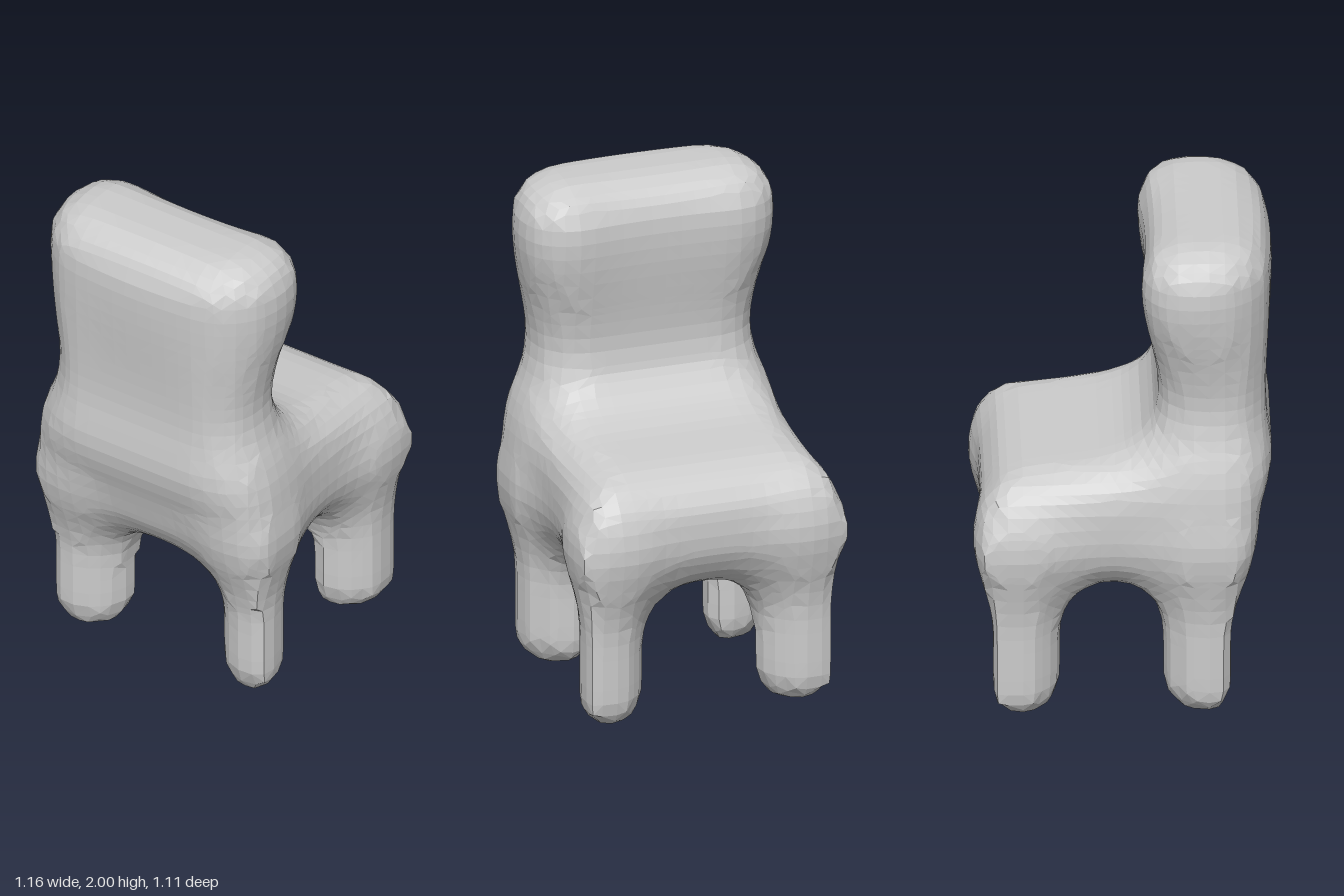
import * as THREE from 'three';

const CELL = 0.06;                       // facet size of the low-poly skin
const MIN = [-0.78, -0.15, -0.78];
const COUNT = [27, 39, 27];

// Signed distance to a rectangle with rounded corners
function roundedRect(x, z, hx, hz, r) {
  const qx = Math.abs(x) - hx + r, qz = Math.abs(z) - hz + r;
  return Math.hypot(Math.max(qx, 0), Math.max(qz, 0)) + Math.min(Math.max(qx, qz), 0) - r;
}

// Raises a plan outline from y0 to y1 and rounds its top and bottom rims
function prism(plan, y, y0, y1, topRound, bottomRound) {
  const middle = (y0 + y1) / 2, r = y > middle ? topRound : bottomRound;
  const qp = plan + r, qy = Math.abs(y - middle) - (y1 - y0) / 2 + r;
  return Math.hypot(Math.max(qp, 0), Math.max(qy, 0)) + Math.min(Math.max(qp, qy), 0) - r;
}

// Seat with tight corners, a vaulted underside and a top that slopes down towards +x
function seat(x, y, z) {
  const plan = roundedRect(x - 0.028, z, 0.522, 0.505, 0.1);
  return prism(plan, y, 0.515, 1.08 - 0.12 * Math.max(x, 0), 0.18, 0.26);
}

// Backrest swells from a waist into a thick rounded top and bows gently across its width
function backrest(x, y, z) {
  const s = THREE.MathUtils.smoothstep(y, 1.3, 1.8);
  const hx = 0.207 + 0.04 * s, bow = 0.2 * z * z * s;
  const plan = roundedRect(x + 0.347 - 0.012 * s - bow, z, hx, 0.443 + 0.075 * s, hx * 0.9);
  return prism(plan, y, 0.93, 2.005, 0.17, 0.17);
}

// Leg whose section is a square thinned across its outward diagonal
const leg = (cx, cz) => (x, y, z) => {
  const dx = x - cx, dz = z - cz;
  const across = (dx * Math.sign(cz) - dz * Math.sign(cx)) * Math.SQRT1_2;
  const plan = Math.max(Math.abs(dx) - 0.13, Math.abs(dz) - 0.13, Math.abs(across) - 0.11);
  return prism(plan, y, -0.01, 0.82, 0.1, 0.125);
};

// Blend is the softness of the joint with the parts before it
const PARTS = [
  { name: 'seat', distance: seat, blend: 0 },
  { name: 'backrest', distance: backrest, blend: 0.28 },
  { name: 'frontLeftLeg', distance: leg(0.375, 0.37), blend: 0.22 },
  { name: 'frontRightLeg', distance: leg(0.375, -0.37), blend: 0.22 },
  { name: 'backLeftLeg', distance: leg(-0.285, 0.37), blend: 0.22 },
  { name: 'backRightLeg', distance: leg(-0.285, -0.37), blend: 0.22 },
];

// All parts melted together
function body(p) {
  return PARTS.reduce((sum, { distance, blend }) => {
    const d = distance(...p);
    const h = Math.max(blend - Math.abs(sum - d), 0);
    return Math.min(sum, d) - (h > 0 ? (h * h) / (4 * blend) : 0);
  }, Infinity);
}

const gridPoint = (c) => c.map((v, i) => MIN[i] + v * CELL);
const gridIndex = (c) => (c[1] * COUNT[2] + c[2]) * COUNT[0] + c[0];
const offset = (c, axis, d) => c.map((v, i) => (i === axis ? v + d : v));

function forEachCell(margin, fn) {
  for (let y = margin; y < COUNT[1] - 1; y++)
    for (let z = margin; z < COUNT[2] - 1; z++)
      for (let x = margin; x < COUNT[0] - 1; x++) fn([x, y, z]);
}

export function createModel() {
  // Sample the blended body on the grid
  const field = [];
  for (let y = 0; y < COUNT[1]; y++)
    for (let z = 0; z < COUNT[2]; z++)
      for (let x = 0; x < COUNT[0]; x++) field.push(body(gridPoint([x, y, z])));
  const at = (c) => field[gridIndex(c)];

  // One skin point per surface cell: the mean of its edge crossings
  const skin = new Map();
  forEachCell(0, (cell) => {
    const sum = new THREE.Vector3();
    let hits = 0;
    for (let axis = 0; axis < 3; axis++)
      for (let k = 0; k < 4; k++) {
        const a = offset(offset(cell, (axis + 1) % 3, k & 1), (axis + 2) % 3, k >> 1);
        const fa = at(a), fb = at(offset(a, axis, 1));
        if (fa < 0 === fb < 0) continue;
        sum.add(new THREE.Vector3(...gridPoint(offset(a, axis, fa / (fa - fb)))));
        hits++;
      }
    if (hits) skin.set(gridIndex(cell), sum.divideScalar(hits));
  });

  // A quad around every grid edge that crosses the surface, given to its nearest part
  const triangles = PARTS.map(() => []);
  forEachCell(1, (c) => {
    for (let axis = 0; axis < 3; axis++) {
      const inside = at(c) < 0;
      if (inside === at(offset(c, axis, 1)) < 0) continue;
      const u = (axis + 1) % 3, v = (axis + 2) % 3;
      const quad = [offset(offset(c, u, -1), v, -1), offset(c, v, -1), c, offset(c, u, -1)]
        .map((q) => skin.get(gridIndex(q)));
      if (!inside) quad.reverse();
      const mid = quad.reduce((m, q) => m.add(q), new THREE.Vector3()).divideScalar(4);
      const near = PARTS.map((part) => part.distance(mid.x, mid.y, mid.z));
      const owner = triangles[near.indexOf(Math.min(...near))];
      // Split along the shorter diagonal
      const first = quad[0].distanceTo(quad[2]) <= quad[1].distanceTo(quad[3]);
      for (const i of first ? [0, 1, 2, 0, 2, 3] : [0, 1, 3, 1, 2, 3]) owner.push(...quad[i].toArray());
    }
  });

  const group = new THREE.Group();
  group.name = 'chair';
  const material = new THREE.MeshStandardMaterial({ color: 0xcccccc, flatShading: true });
  PARTS.forEach((part, i) => {
    const geometry = new THREE.BufferGeometry();
    geometry.setAttribute('position', new THREE.Float32BufferAttribute(triangles[i], 3));
    geometry.computeVertexNormals();
    const mesh = new THREE.Mesh(geometry, material);
    mesh.name = part.name;
    group.add(mesh);
  });
  return group;
}
